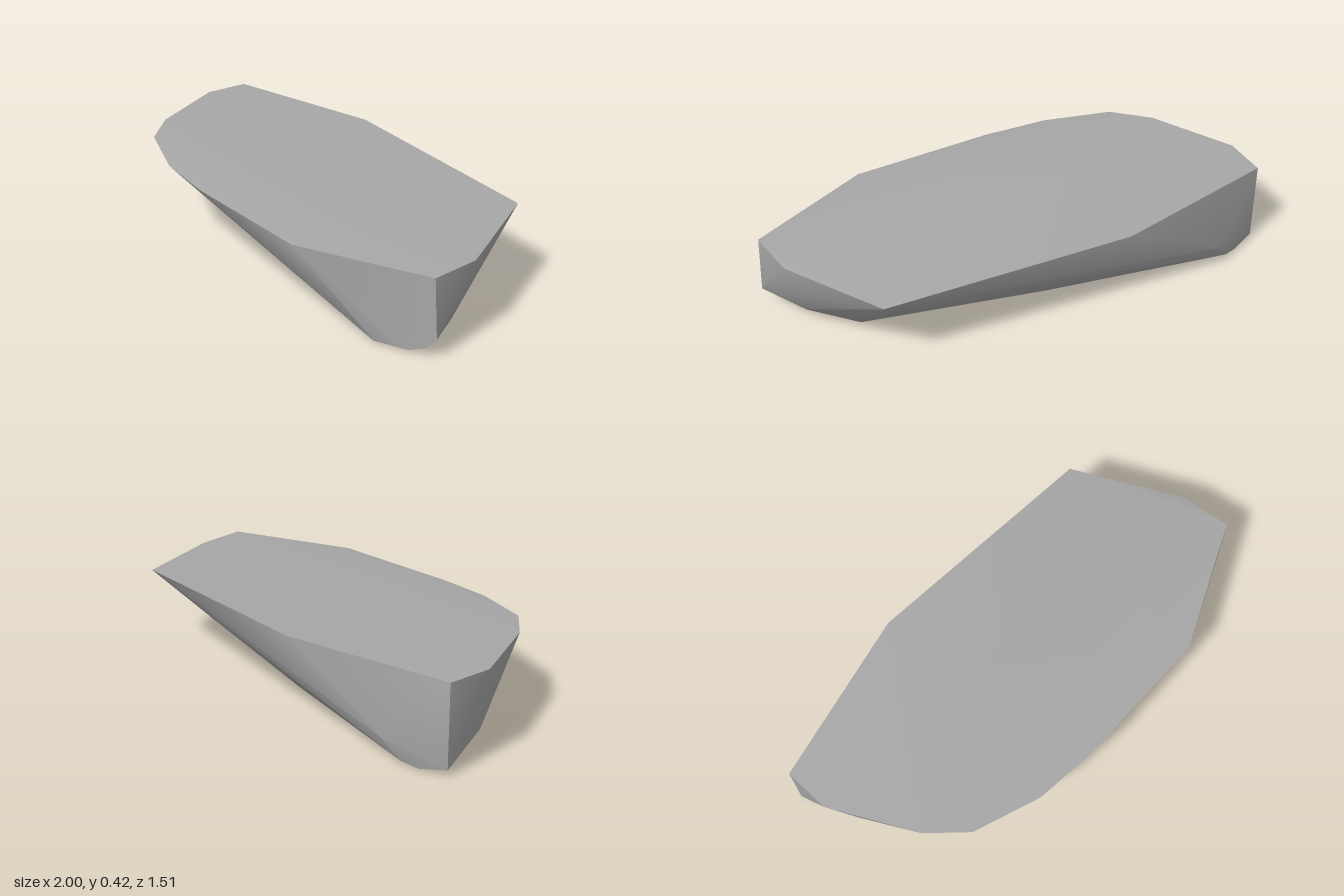
import * as THREE from 'three';
import { ConvexGeometry } from 'three/addons/geometries/ConvexGeometry.js';
import { toCreasedNormals } from 'three/addons/utils/BufferGeometryUtils.js';

// Rim of the nearly flat top
const topRim = [
  [-0.91, 0.42, -0.76], [-0.09, 0.417, -0.6], [0.955, 0.39, -0.06], [1, 0.36, 0.5],
  [0.93, 0.365, 0.74], [0.27, 0.365, 0.75], [-0.37, 0.378, 0.48], [-0.64, 0.388, 0.33],
  [-0.89, 0.408, 0.1], [-0.97, 0.416, -0.11], [-1, 0.42, -0.56],
];

// Shoulders where the undercut walls round into the base
const shoulders = [
  [-0.6, 0.12, -0.76], [-0.91, 0.03, -0.76], [-0.93, 0.09, -0.45], [-0.8, 0.09, -0.12],
  [-0.6, 0.08, 0], [-0.2, 0.05, 0.24], [0.945, 0.09, 0.74], [0.9, 0.06, 0.5], [0.8, 0.05, 0.25],
];

// Outline of the underside
const base = [
  [-0.7, 0.02, -0.75], [-0.78, 0.003, -0.75], [-0.78, 0.004, -0.39], [-0.6, 0, -0.15],
  [0.66, 0.01, 0.745], [0.82, 0.01, 0.745], [0.9, 0.04, 0.745], [0.82, 0.015, 0.5],
  [0.72, 0.01, 0.28], [0.05, 0.005, -0.23],
];

export function createModel() {
  const group = new THREE.Group();
  group.name = 'rock';
  const stone = new THREE.MeshStandardMaterial({ color: 0xa6a6a6 });
  stone.name = 'grey stone';

  // One convex slab, smooth round the walls with a sharp top edge
  const points = [...topRim, ...shoulders, ...base].map((p) => new THREE.Vector3(...p));
  const slab = new THREE.Mesh(toCreasedNormals(new ConvexGeometry(points), 0.65), stone);
  slab.name = 'stoneSlab';
  group.add(slab);
  return group;
}
